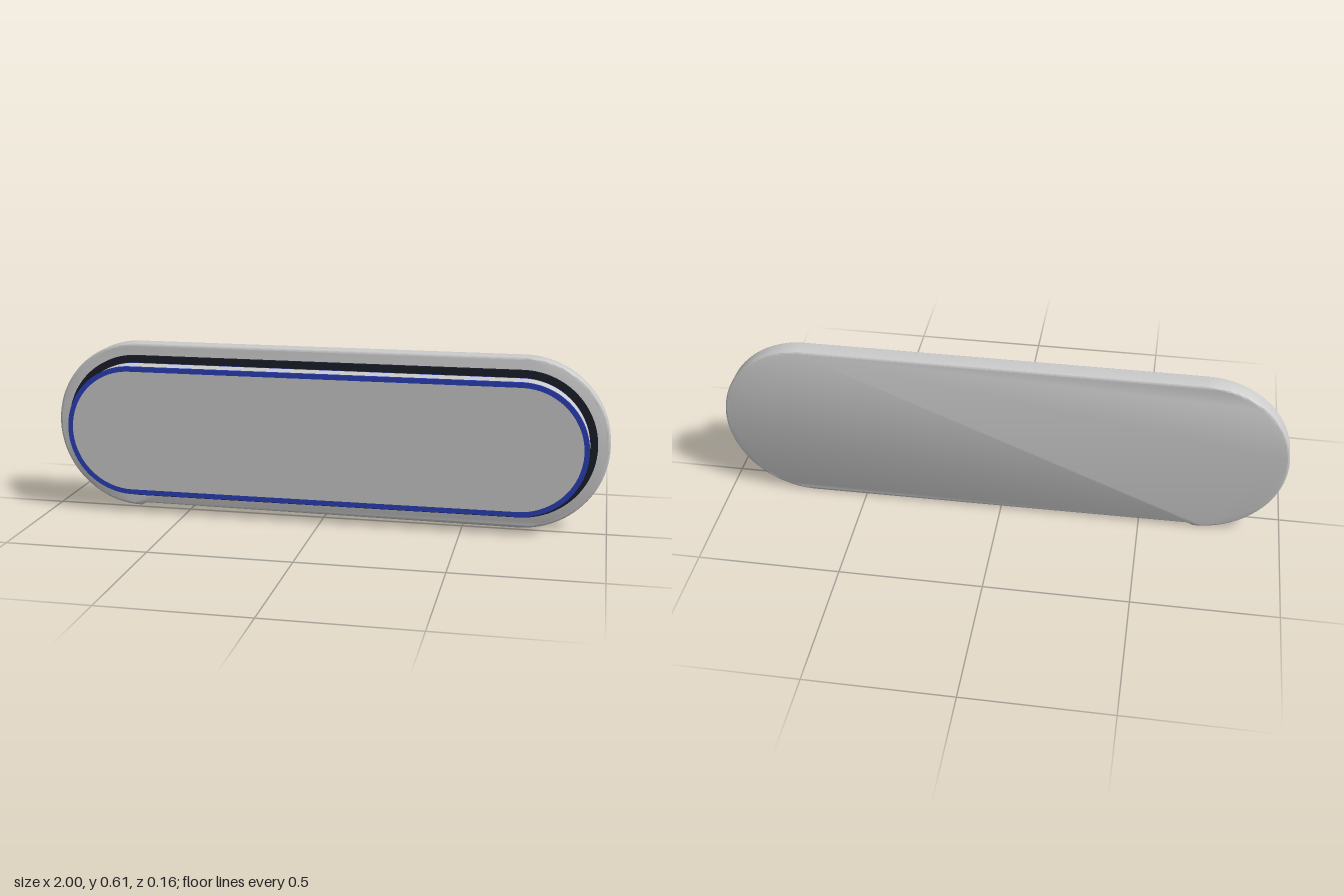
import * as THREE from 'three';
import { toCreasedNormals } from 'three/addons/utils/BufferGeometryUtils.js';

const CENTER_Y = 0.305;
const STRAIGHT = 0.695; // half length of the straight edges

// Pill outline centred on the origin; sag lifts the start of the lower edge a little
function pill(r, sag = 0, Type = THREE.Shape) {
  const s = new Type();
  s.moveTo(STRAIGHT, -r);
  s.absarc(STRAIGHT, 0, r, -Math.PI / 2, Math.PI / 2, false);
  s.lineTo(-STRAIGHT, r);
  s.absarc(-STRAIGHT, 0, r, Math.PI / 2, Math.PI * 1.5, false);
  if (sag) s.lineTo(-STRAIGHT + 0.02, -r + sag);
  s.closePath();
  return s;
}

function createModel() {
  const group = new THREE.Group();
  const grey = new THREE.MeshStandardMaterial({ color: 0xcccccc });
  const black = new THREE.MeshStandardMaterial({ color: 0x1c1e2a });
  const blue = new THREE.MeshStandardMaterial({ color: 0x2c40b8 });

  // Extrude a pill between two depths, optionally rounded or hollow
  function slab(name, material, r, z0, z1, { bevel = 0, hole = 0, sag = 0 } = {}) {
    const shape = pill(r, sag);
    if (hole) shape.holes.push(pill(hole, 0, THREE.Path));
    const geometry = new THREE.ExtrudeGeometry(shape, {
      depth: z1 - z0 - 2 * bevel,
      curveSegments: 32,
      bevelEnabled: bevel > 0,
      bevelThickness: bevel,
      bevelSize: bevel,
      bevelOffset: -bevel,
      bevelSegments: 4,
    });
    geometry.translate(0, CENTER_Y, z0 + bevel);
    const mesh = new THREE.Mesh(toCreasedNormals(geometry, 0.6), material);
    mesh.name = name;
    group.add(mesh);
  }

  // Rounded backing plate and the dark gasket on it
  slab('backPlate', grey, 0.305, -0.08, -0.013, { bevel: 0.009, sag: 0.01 });
  slab('gasket', black, 0.262, -0.013, 0);

  // Raised body with a blue line at its foot and a blue rim round its face
  slab('footLine', blue, 0.236, 0, 0.006);
  slab('body', grey, 0.236, 0.006, 0.07);
  slab('rim', blue, 0.236, 0.07, 0.08, { hole: 0.218 });
  slab('facePanel', grey, 0.218, 0.07, 0.08);

  return group;
}

export { createModel };
